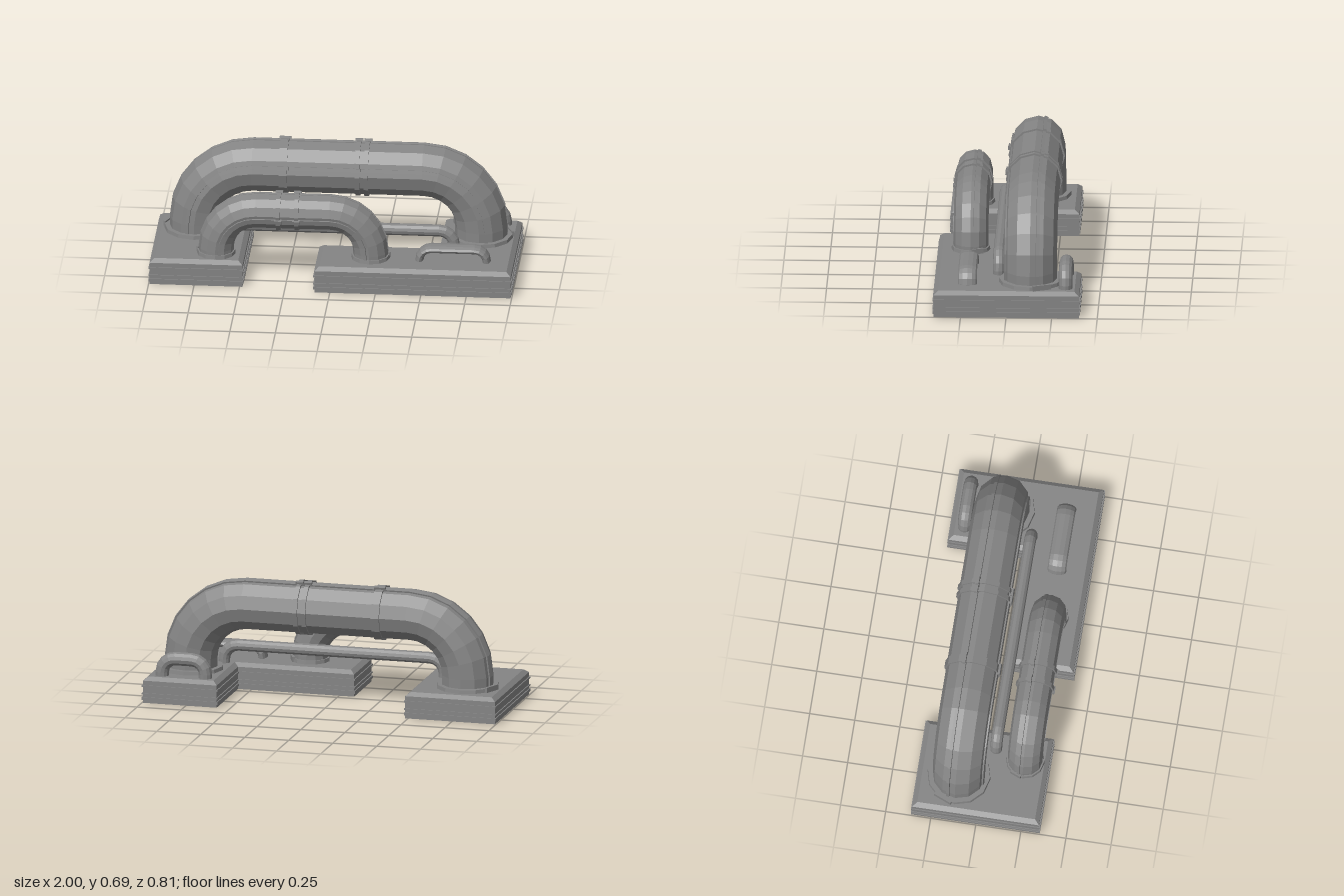
import * as THREE from 'three';

const material = new THREE.MeshStandardMaterial({ color: 0x848484, flatShading: true });

function add(parent, geometry, name) {
  const mesh = new THREE.Mesh(geometry, material);
  mesh.name = name;
  parent.add(mesh);
  return mesh;
}

function fromTriangles(positions) {
  const g = new THREE.BufferGeometry();
  g.setAttribute('position', new THREE.Float32BufferAttribute(positions, 3));
  g.computeVertexNormals();
  return g;
}

// Skin between successive closed rings of points
function loft(rings) {
  const out = [], n = rings[0].length;
  for (let k = 0; k < rings.length - 1; k++) {
    for (let i = 0; i < n; i++) {
      const j = (i + 1) % n, a = rings[k], b = rings[k + 1];
      out.push(...a[i], ...a[j], ...b[j], ...a[i], ...b[j], ...b[i]);
    }
  }
  return out;
}

// Plinth: a right-angled outline (x, -z), counter-clockwise, stacked through ribs and a top bevel
const plinthProfile = [
  [0, 0], [0.018, 0], [0.018, -0.006], [0.033, -0.006], [0.033, 0], [0.048, 0], [0.048, -0.006],
  [0.056, -0.006], [0.056, 0], [0.09, 0], [0.09, -0.006], [0.1, -0.006], [0.1, 0], [0.125, 0], [0.145, 0.025],
];

function plinth(outline) {
  const n = outline.length;
  const inset = (d) => outline.map(([x, v], i) => {
    const [px, pv] = outline[(i + n - 1) % n], [qx, qv] = outline[(i + 1) % n];
    return new THREE.Vector2(
      x - (Math.sign(v - pv) + Math.sign(qv - v)) * d,
      v + (Math.sign(x - px) + Math.sign(qx - x)) * d);
  });
  const rings = plinthProfile.map(([y, d]) => inset(d).map((p) => [p.x, y, -p.y]));
  const out = loft(rings);
  const top = rings[rings.length - 1], bottom = rings[0];
  for (const [a, b, c] of THREE.ShapeUtils.triangulateShape(inset(0), [])) {
    out.push(...top[a], ...top[b], ...top[c], ...bottom[a], ...bottom[c], ...bottom[b]);
  }
  return fromTriangles(out);
}

// Arch path in the xy plane: up, quarter bend, across, quarter bend, down
function archPath(xl, xr, yTop, r, segments) {
  const path = [{ x: xl, y: 0.13, a: Math.PI }];
  for (const [cx, start] of [[xl + r, Math.PI], [xr - r, Math.PI / 2]]) {
    for (let i = 0; i <= segments; i++) {
      const a = start - (i / segments) * Math.PI / 2;
      path.push({ x: cx + r * Math.cos(a), y: yTop - r + r * Math.sin(a), a });
    }
  }
  path.push({ x: xr, y: 0.13, a: 0 });
  return path;
}

// Sweep a section of (outward, z) points along an arch path
function sweep(path, section, z) {
  return fromTriangles(loft(path.map((p) =>
    section.map(([o, s]) => [p.x + Math.cos(p.a) * o, p.y + Math.sin(p.a) * o, z + s]))));
}

function ellipse(ro, rz, sides) {
  return Array.from({ length: sides }, (_, i) => {
    const t = (i / sides) * Math.PI * 2;
    return [ro * Math.cos(t), rz * Math.sin(t)];
  });
}

// Small rectangle lying on the pipe's skin at a given angle
function stripSection(radius, angle, width, height) {
  const c = Math.cos(angle), s = Math.sin(angle), w = width / 2;
  return [[radius - 0.012, -w], [radius + height, -w], [radius + height, w], [radius - 0.012, w]]
    .map(([r, t]) => [r * c - t * s, r * s + t * c]);
}

function archPipe({ name, xl, xr, y, z, radius, bend, strips, clamps, flange }) {
  const group = new THREE.Group();
  group.name = name;
  const path = archPath(xl, xr, y, bend, 6);
  add(group, sweep(path, ellipse(radius, radius, 12), z), 'pipe');
  for (const angle of strips) {
    add(group, sweep(path, stripSection(radius, angle, 0.018, 0.004), z), 'cableStrip');
  }
  // Clamp bands, with a lug over each strip
  for (const [x, width] of clamps) {
    const band = add(group, new THREE.CylinderGeometry(radius + 0.01, radius + 0.01, width, 12), 'clampBand');
    band.rotation.z = Math.PI / 2;
    band.position.set(x, y, z);
    for (const angle of strips) {
      const lug = add(group, new THREE.BoxGeometry(width + 0.018, 0.026, 0.02), 'clampLug');
      lug.rotation.x = angle;
      lug.position.set(x, y + Math.cos(angle) * (radius + 0.004), z + Math.sin(angle) * (radius + 0.004));
    }
  }
  // Collars where the legs meet the plinths, each with a plate on its outer side
  for (const [x, side] of [[xl, -1], [xr, 1]]) {
    const collar = add(group, new THREE.CylinderGeometry(flange - 0.004, flange, 0.03, 12), 'collar');
    collar.position.set(x, 0.15, z);
    const plate = add(group, new THREE.BoxGeometry(0.014, 0.034, flange * 0.6), 'collarPlate');
    plate.rotation.y = side * 0.4;
    plate.position.set(x + side * Math.cos(0.4) * (flange - 0.008), 0.157, z - Math.sin(0.4) * (flange - 0.008));
  }
  return group;
}

export function createModel() {
  const model = new THREE.Group();
  model.name = 'pipework';

  add(model, plinth([[-0.994, -0.349], [-0.484, -0.349], [-0.484, 0.354], [-0.994, 0.354]]), 'rightPlinth');
  add(model, plinth([
    [-0.085, -0.397], [0.994, -0.397], [0.994, 0.399], [0.575, 0.399], [0.575, -0.04], [-0.085, -0.04],
  ]), 'leftPlinth');

  model.add(archPipe({
    name: 'largePipe', xl: -0.777, xr: 0.79, y: 0.531, z: -0.128, radius: 0.145, bend: 0.315,
    strips: [-0.29, 1.3], clamps: [[-0.29, 0.045], [0.118, 0.025], [0.166, 0.025]], flange: 0.176,
  }));
  model.add(archPipe({
    name: 'smallPipe', xl: -0.638, xr: 0.21, y: 0.403, z: 0.218, radius: 0.096, bend: 0.22,
    strips: [-0.27, 1.83], clamps: [[-0.293, 0.023], [-0.192, 0.023]], flange: 0.108,
  }));

  // Thin connecting pipe and two short loops
  add(model, sweep(archPath(-0.595, 0.655, 0.247, 0.08, 4), ellipse(0.033, 0.033, 12), 0.05), 'thinPipe');
  add(model, sweep(archPath(0.66, 0.905, 0.242, 0.075, 4), ellipse(0.038, 0.038, 12), -0.323), 'backLoop');
  add(model, sweep(archPath(0.48, 0.848, 0.211, 0.065, 4), ellipse(0.023, 0.052, 12), 0.217), 'frontLoop');

  return model;
}
